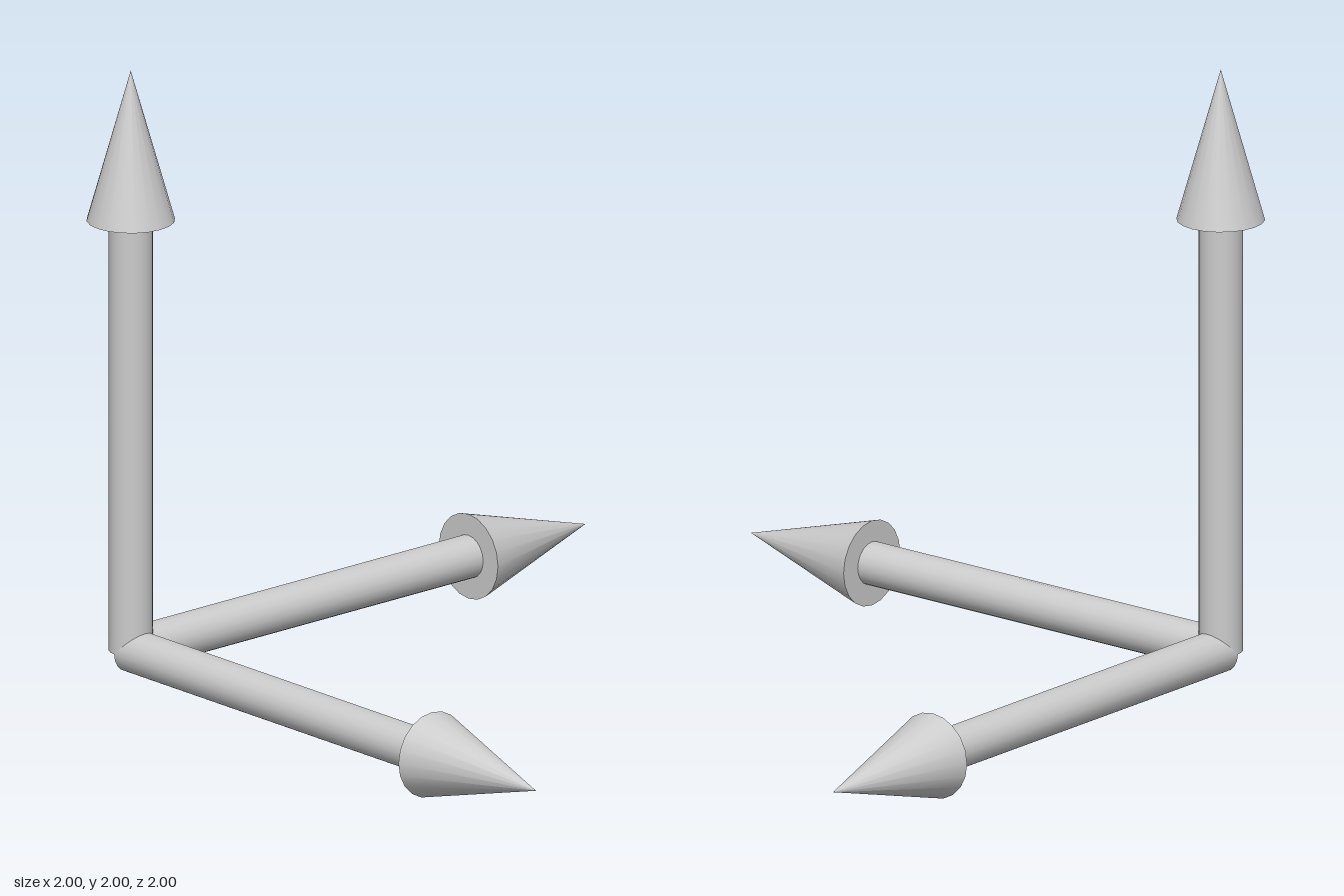
import * as THREE from 'three';

const SIDES = 20;
const SHAFT_LENGTH = 1.384, HEAD_LENGTH = 0.48;
const SHAFT_RADIUS = 0.068, HEAD_RADIUS = 0.136;

// One arrow along +y, starting at the shared origin
function createArrow(name, material) {
  const arrow = new THREE.Group();
  arrow.name = name;

  const shaft = new THREE.Mesh(
    new THREE.CylinderGeometry(SHAFT_RADIUS, SHAFT_RADIUS, SHAFT_LENGTH, SIDES), material);
  shaft.name = 'shaft';
  shaft.position.y = SHAFT_LENGTH / 2;

  const head = new THREE.Mesh(
    new THREE.ConeGeometry(HEAD_RADIUS, HEAD_LENGTH, SIDES), material);
  head.name = 'arrowHead';
  head.position.y = SHAFT_LENGTH + HEAD_LENGTH / 2;

  arrow.add(shaft, head);
  return arrow;
}

export function createModel() {
  const model = new THREE.Group();
  model.name = 'axisArrows';
  const material = new THREE.MeshStandardMaterial({ color: 0xcccccc });

  const upArrow = createArrow('upArrow', material);
  const sideArrow = createArrow('sideArrow', material);
  sideArrow.rotation.z = -Math.PI / 2; // points to +x
  const frontArrow = createArrow('frontArrow', material);
  frontArrow.rotation.x = Math.PI / 2; // points to +z

  // All three arrows meet in the back corner
  for (const arrow of [upArrow, sideArrow, frontArrow]) {
    arrow.position.set(-0.864, 0.136, -0.864);
    model.add(arrow);
  }
  return model;
}
